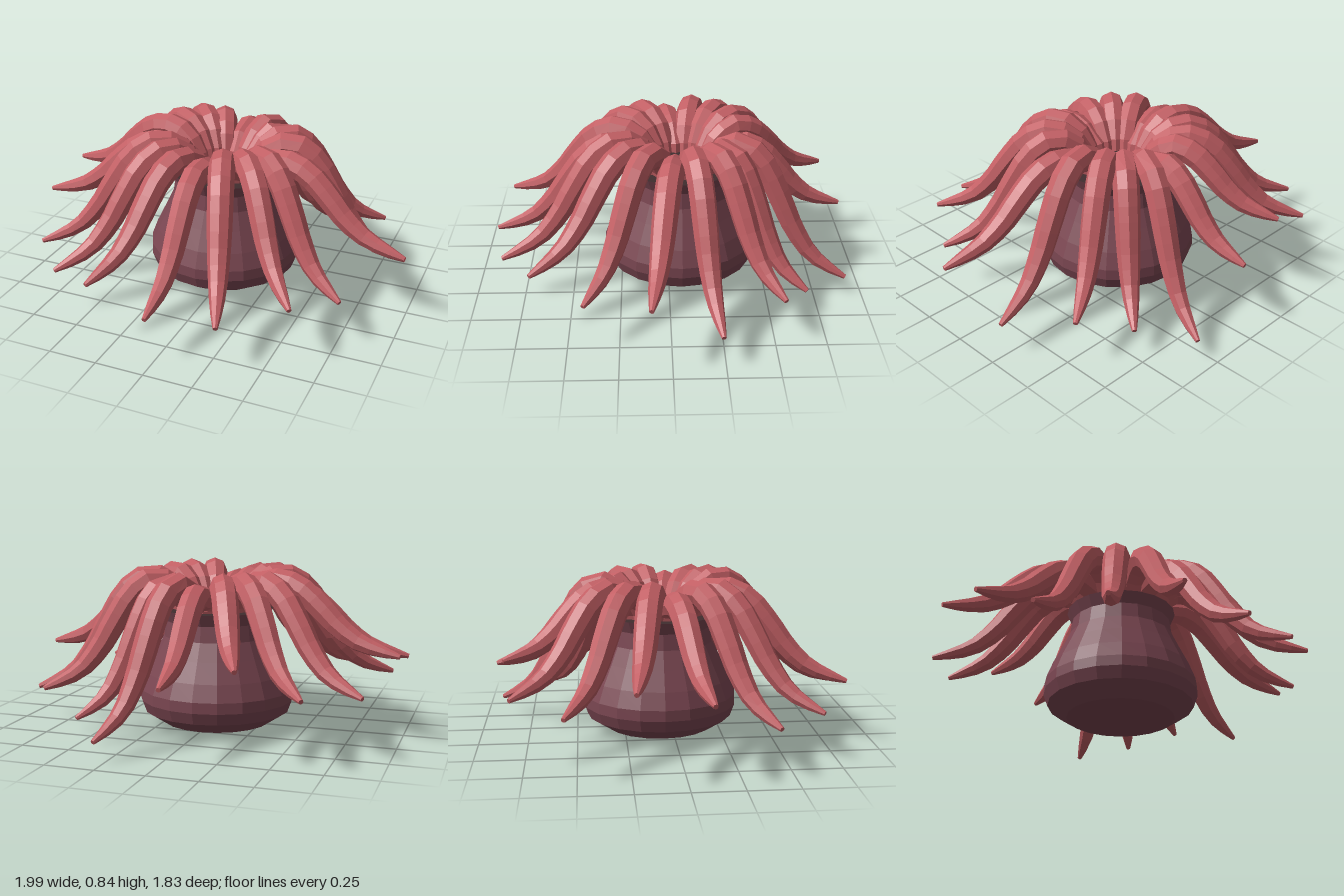
import * as THREE from 'three';

const SIDES = 8;
const RINGS = 14;
const THICKNESS = [0.06, 0.062, 0.065, 0.066, 0.065, 0.063, 0.06, 0.054, 0.045, 0.033, 0.012];

// Tentacle radius at t = 0 (root) to 1 (tip)
function radiusAt(t) {
  const f = t * (THICKNESS.length - 1);
  const i = Math.min(Math.floor(f), THICKNESS.length - 2);
  return THREE.MathUtils.lerp(THICKNESS[i], THICKNESS[i + 1], f - i);
}

// One drooping tentacle growing along +z: a tapered tube swept along an S-shaped path
function tentacleGeometry(length, top, tip) {
  const peak = top - 0.064;
  const at = (s, f) => new THREE.Vector3(0, tip + (peak - tip) * f, length * s);
  const curve = new THREE.CatmullRomCurve3([
    new THREE.Vector3(0, 0.58, 0.16),
    new THREE.Vector3(0, 0.68, 0.19),
    new THREE.Vector3(0, peak - 0.02, 0.265),
    at(0.37, 1), at(0.48, 0.89), at(0.58, 0.65), at(0.68, 0.37),
    at(0.79, 0.16), at(0.89, 0.07), at(1, 0),
  ]);
  const positions = [];
  const indices = [];
  for (let i = 0; i <= RINGS; i++) {
    const t = i / RINGS;
    const p = curve.getPointAt(t);
    const d = curve.getTangentAt(t);
    const r = radiusAt(t);
    for (let k = 0; k < SIDES; k++) {
      const a = (k / SIDES) * Math.PI * 2;
      const side = Math.cos(a) * r;
      const up = Math.sin(a) * r;
      positions.push(side, p.y + d.z * up, p.z - d.y * up);
    }
  }
  for (let i = 0; i < RINGS; i++) {
    for (let k = 0; k < SIDES; k++) {
      const a = i * SIDES + k;
      const b = i * SIDES + ((k + 1) % SIDES);
      indices.push(a, b, a + SIDES, b, b + SIDES, a + SIDES);
    }
  }
  // close both ends
  const last = RINGS * SIDES;
  for (let k = 1; k < SIDES - 1; k++) {
    indices.push(0, k + 1, k, last, last + k, last + k + 1);
  }
  const geometry = new THREE.BufferGeometry();
  geometry.setAttribute('position', new THREE.Float32BufferAttribute(positions, 3));
  geometry.setIndex(indices);
  geometry.computeVertexNormals();
  return geometry;
}

export function createModel() {
  const material = (name, color) => {
    const m = new THREE.MeshStandardMaterial({ color, flatShading: true });
    m.name = name;
    return m;
  };
  const bodyMaterial = material('plum', 0x7a4651);
  const tentacleMaterial = material('coral', 0xc25f64);
  const discMaterial = material('dark maroon', 0x402d2f);

  const model = new THREE.Group();
  model.name = 'seaAnemone';
  const axis = new THREE.Group();
  axis.name = 'anemone';
  axis.position.set(-0.03, 0, -0.065);
  model.add(axis);

  // Bulging column with a narrow waist and a flared rim
  const profile = [
    [0, 0], [0.28, 0.025], [0.38, 0.09], [0.402, 0.15], [0.4, 0.205], [0.367, 0.29],
    [0.318, 0.39], [0.276, 0.48], [0.265, 0.56], [0.29, 0.62],
  ].map(([r, y]) => new THREE.Vector2(r, y));
  const body = new THREE.Mesh(new THREE.LatheGeometry(profile, 20), bodyMaterial);
  body.name = 'body';
  axis.add(body);

  // Oral disc closing the top
  const disc = new THREE.Mesh(new THREE.CircleGeometry(0.29, 20), discMaterial);
  disc.name = 'oralDisc';
  disc.rotation.x = -Math.PI / 2;
  disc.position.y = 0.62;
  axis.add(disc);

  // Ring of tentacles from the front round by +x: [length, crest height, tip height, degrees]
  const tentacles = [
    [0.975, 0.79, 0.24, 0], [0.975, 0.845, 0.24, 20], [0.975, 0.84, 0.31, 40],
    [0.925, 0.84, 0.24, 58.5], [1.03, 0.79, 0.36, 81], [0.97, 0.84, 0.17, 100],
    [0.9, 0.84, 0.24, 122], [0.805, 0.83, 0.14, 140], [0.905, 0.83, 0.1, 159],
    [0.845, 0.785, 0.37, 180], [0.855, 0.83, 0.46, 203], [0.97, 0.84, 0.34, 220],
    [0.98, 0.84, 0.31, 240], [0.985, 0.84, 0.45, 260], [0.985, 0.79, 0.39, 280],
    [0.98, 0.84, 0.24, 300], [0.97, 0.84, 0.24, 320], [0.98, 0.825, 0.32, 340],
  ];
  tentacles.forEach(([length, top, tip, degrees], i) => {
    const tentacle = new THREE.Mesh(tentacleGeometry(length, top, tip), tentacleMaterial);
    tentacle.name = `tentacle${i + 1}`;
    tentacle.rotation.y = THREE.MathUtils.degToRad(degrees);
    axis.add(tentacle);
  });
  return model;
}
